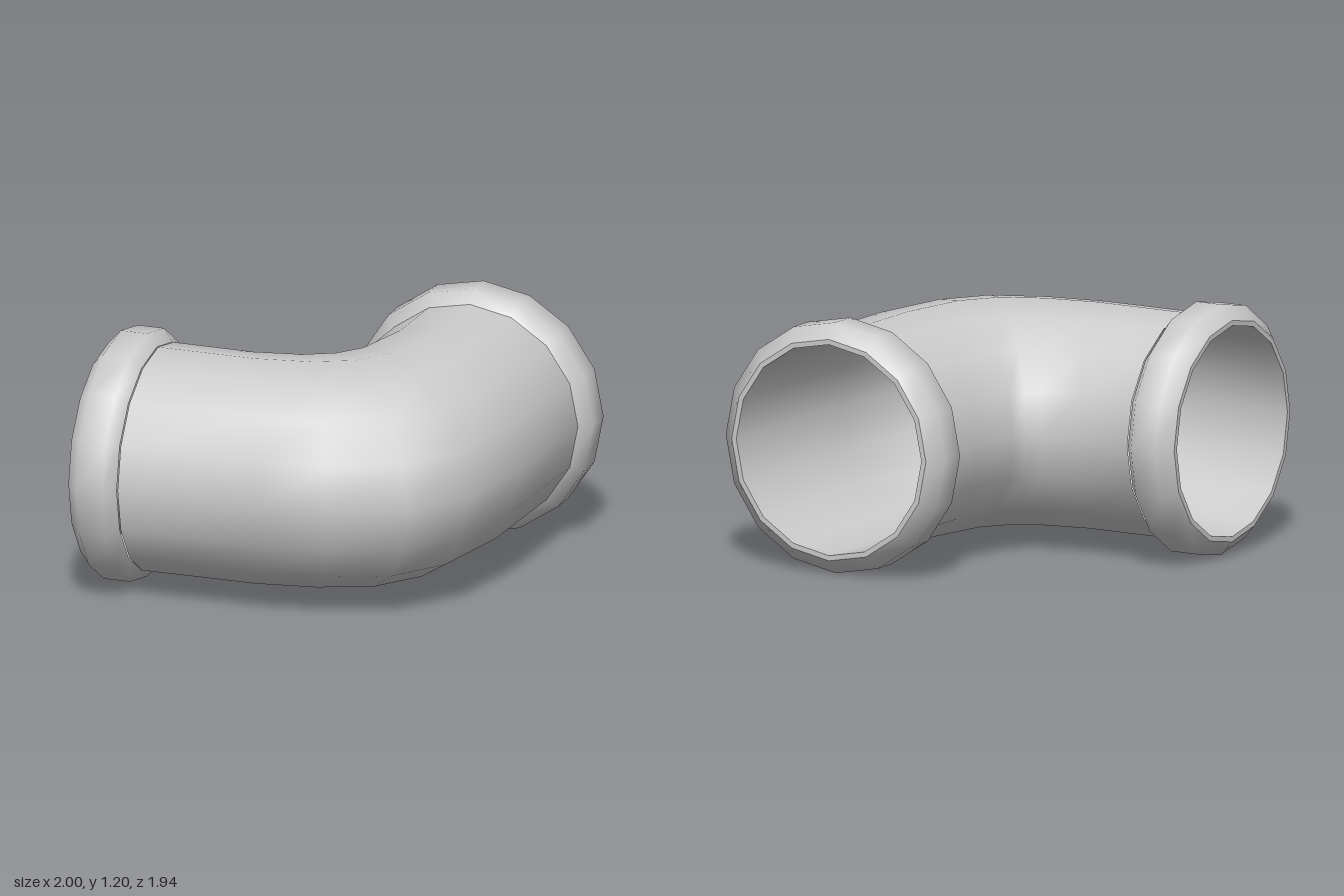
import * as THREE from 'three';

const SIDES = 16;
const MID_Y = 0.6;
const RADIUS = 0.54;
const WALL = 0.035;

// Slanted cross-sections of the bend, from the back arm to the left arm:
// [outer x, outer z, inner x, inner z]
const BEND = [
  [0.91, -0.04, -0.14, -0.52],
  [0.82, 0.43, -0.205, -0.3],
  [0.62, 0.71, -0.25, -0.255],
  [0.28, 0.85, -0.3, -0.21],
  [-0.05, 0.9, -0.48, -0.165],
];

// Straight cross-sections square to each arm
const backSection = (z) => [0.94, z, -0.14, z];
const leftSection = (x) => [x, 0.91, x, -0.17];

// Skin a row of elliptical sections, shrunk by inset; inward flips the faces
function loft(sections, inset, inward) {
  const positions = [];
  const index = [];
  sections.forEach(([ox, oz, ix, iz], i) => {
    const cx = (ox + ix) / 2, cz = (oz + iz) / 2;
    const half = Math.hypot(ox - ix, oz - iz) / 2;
    const k = (half - inset) / half;
    for (let j = 0; j < SIDES; j++) {
      const a = (j / SIDES) * Math.PI * 2;
      const c = Math.cos(a) * k;
      positions.push(
        cx + c * (ox - cx),
        MID_Y + Math.sin(a) * (RADIUS - inset),
        cz + c * (oz - cz)
      );
      if (i === sections.length - 1) continue;
      const p = i * SIDES + j;
      const q = i * SIDES + ((j + 1) % SIDES);
      const r = p + SIDES, s = q + SIDES;
      if (inward) index.push(p, r, q, q, r, s);
      else index.push(p, q, r, q, s, r);
    }
  });
  const geometry = new THREE.BufferGeometry();
  geometry.setAttribute('position', new THREE.Float32BufferAttribute(positions, 3));
  geometry.setIndex(index);
  geometry.computeVertexNormals();
  return geometry;
}

export function createModel() {
  const group = new THREE.Group();
  group.name = 'pipeElbow';
  const material = new THREE.MeshStandardMaterial({ color: 0xcccccc });

  const add = (name, geometry, parent = group) => {
    const mesh = new THREE.Mesh(geometry, material);
    mesh.name = name;
    parent.add(mesh);
    return mesh;
  };

  // Outer pipe and the inside wall
  add('elbowPipe', loft([backSection(-0.73), ...BEND, leftSection(-0.75)], 0, false));
  add('insideWall', loft([backSection(-0.97), ...BEND, leftSection(-1)], WALL, true));

  // Chamfered collar with a flat lip, local +y pointing out of the opening
  const profile = [
    [0.54, -0.245], [0.6, -0.195], [0.6, -0.063], [0.53, 0],
  ].map(([r, y]) => new THREE.Vector2(r, y));

  const makeCollar = (name) => {
    const collar = new THREE.Group();
    collar.name = name;
    add(name + 'Ring', new THREE.LatheGeometry(profile, SIDES), collar);
    const lip = add(name + 'Lip', new THREE.RingGeometry(RADIUS - WALL, 0.53, SIDES), collar);
    lip.rotation.x = -Math.PI / 2;
    group.add(collar);
    return collar;
  };

  const backCollar = makeCollar('backCollar');
  backCollar.position.set(0.4, MID_Y, -0.97);
  backCollar.rotation.x = -Math.PI / 2;

  const sideCollar = makeCollar('sideCollar');
  sideCollar.position.set(-1, MID_Y, 0.37);
  sideCollar.rotation.z = Math.PI / 2;

  return group;
}
